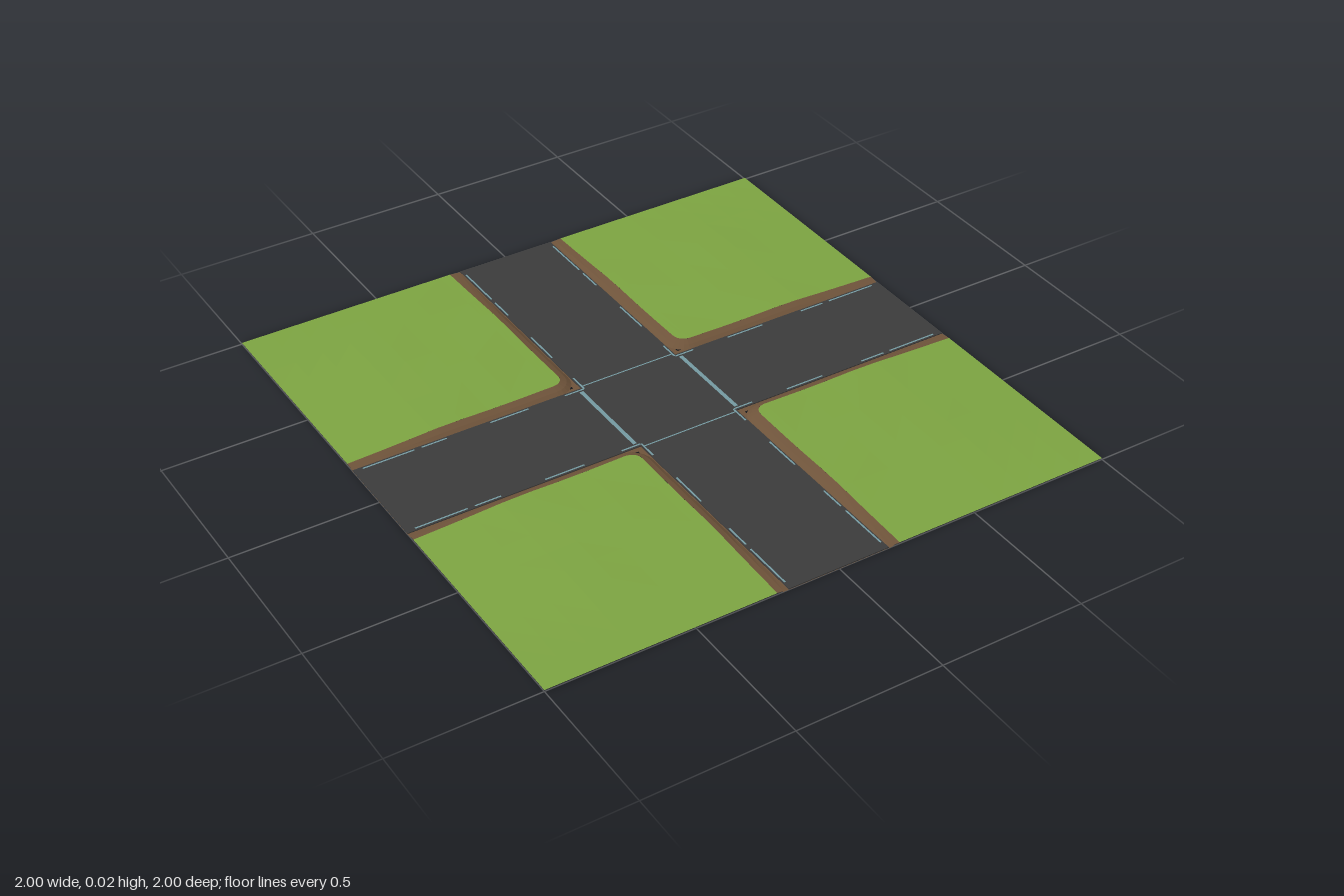
import * as THREE from 'three';

const EDGE = 0.22;    // inner edge of each lawn
const RADIUS = 0.04;  // rounding of its inner corner
const C = EDGE + RADIUS;

// Gentle lumpy lawn that tapers down to the tile's outer edges
function height(x, z) {
  const taper = v => Math.min(1, Math.max(0, (1 - v) / 0.35));
  return 0.005 + 0.0135 * taper(x) * taper(z) + 0.0015 * Math.cos(x * 14) * Math.cos(z * 14) * taper(x) * taper(z);
}

// Faceted sheet from a grid of points f(i, j)
function sheet(n, m, f) {
  const pos = [], index = [];
  for (let i = 0; i <= n; i++) for (let j = 0; j <= m; j++) pos.push(...f(i, j));
  for (let i = 0; i < n; i++) for (let j = 0; j < m; j++) {
    const a = i * (m + 1) + j, b = a + 1, c = a + m + 1, d = c + 1;
    index.push(a, b, c, b, d, c);
  }
  const g = new THREE.BufferGeometry();
  g.setAttribute('position', new THREE.Float32BufferAttribute(pos, 3));
  g.setIndex(index);
  const flat = g.toNonIndexed();
  flat.computeVertexNormals();
  return flat;
}

function lawnGeometry() {
  const steps = [EDGE, 0.23, 0.243, C, 0.4, 0.5, 0.6, 0.7, 0.8, 0.9, 1];
  const n = steps.length - 1;
  return sheet(n, n, (i, j) => {
    let x = steps[i], z = steps[j];
    const d = Math.hypot(x - C, z - C);
    if (x < C && z < C && d > RADIUS) { // pull the corner onto its arc
      x = C + (x - C) * RADIUS / d;
      z = C + (z - C) * RADIUS / d;
    }
    return [x, height(x, z), z];
  });
}

// Sloping earth bank swept along the lawn's inner edge
function bankGeometry() {
  const path = []; // x, z, outward normal x, outward normal z
  for (let k = 0; k <= 7; k++) path.push([1 - (1 - C) * k / 7, EDGE, 0, -1]);
  for (let k = 1; k < 6; k++) {
    const a = k / 6 * Math.PI / 2, nx = -Math.sin(a), nz = -Math.cos(a);
    path.push([C + nx * RADIUS, C + nz * RADIUS, nx, nz]);
  }
  for (let k = 0; k <= 7; k++) path.push([EDGE, C + (1 - C) * k / 7, -1, 0]);
  const profile = [[0.037, 0], [0.022, 0.55], [0, 1]];
  return sheet(2, path.length - 1, (i, j) => {
    const [x, z, nx, nz] = path[j], [out, up] = profile[i];
    return [x + nx * out, 0.001 + (height(x, z) - 0.001) * up, z + nz * out];
  });
}

export function createModel() {
  const model = new THREE.Group();
  model.name = 'crossroadsTile';
  const material = (name, color, side = THREE.FrontSide) =>
    Object.assign(new THREE.MeshStandardMaterial({ color, side }), { name });
  const grass = material('grass green', 0x7ca341, THREE.DoubleSide);
  const earth = material('earth brown', 0x6e533a, THREE.DoubleSide);
  const asphalt = material('asphalt grey', 0x3b3b3b);
  const paint = material('edge line blue grey', 0x7399a0);

  const add = (name, geometry, mat, x = 0, y = 0, z = 0) => {
    const mesh = new THREE.Mesh(geometry, mat);
    mesh.name = name;
    mesh.position.set(x, y, z);
    model.add(mesh);
    return mesh;
  };
  const box = (name, w, h, d, mat, x, y, z) => add(name, new THREE.BoxGeometry(w, h, d), mat, x, y, z);
  const plane = (name, w, d, x, z) =>
    add(name, new THREE.PlaneGeometry(w, d).rotateX(-Math.PI / 2), paint, x, 0.0045, z);

  // Four lawns with their banks
  const lawn = lawnGeometry(), bank = bankGeometry();
  for (let q = 0; q < 4; q++) {
    add('lawn', lawn, grass).rotation.y = q * Math.PI / 2;
    add('bank', bank, earth).rotation.y = q * Math.PI / 2;
  }

  // Earth bed, visible from below and beside the asphalt
  const bedArm = 0.8;
  const bed = (w, d, x, z) => add('earthBed', new THREE.PlaneGeometry(w, d).rotateX(-Math.PI / 2), earth, x, 0, z);
  bed(2, 0.4, 0, 0);
  for (const s of [-1, 1]) bed(0.4, bedArm, 0, s * 0.6);

  // Asphalt: one through road and two side arms
  box('road', 2, 0.003, 0.366, asphalt, 0, 0.0025, 0);
  for (const s of [-1, 1]) {
    box('roadArm', 0.36, 0.003, 0.817, asphalt, 0, 0.0025, s * 0.5915);
  }

  // Worn edge lines along the roads and around the junction
  const dashes = [[0.21, 0.07], [0.45, 0.14], [0.72, 0.09], [0.88, 0.18]]; // centre, length
  for (const s of [-1, 1]) {
    plane('junctionLine', 0.014, 0.33, s * 0.19, 0);
    plane('junctionLine', 0.34, 0.005, 0, s * 0.19);
    for (const t of [-1, 1]) for (const [at, len] of dashes) {
      plane('edgeLine', 0.006, len, s * 0.173, t * at);
      plane('edgeLine', len, 0.006, t * at, s * 0.174);
    }
  }
  return model;
}
